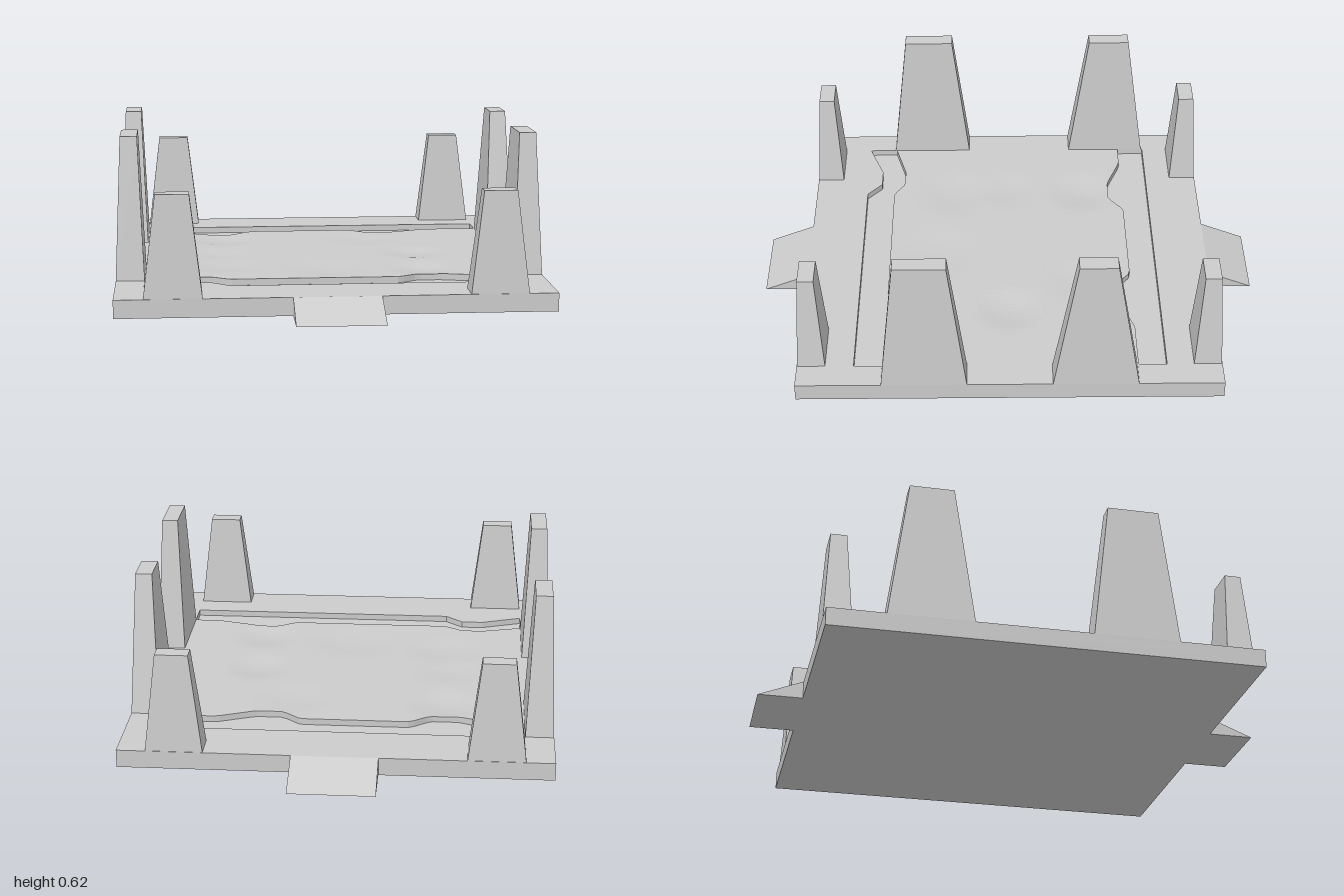
import * as THREE from 'three';

const TOP = 0.07, BED = 0.045, HALF = 0.825, IN = 0.715;
const material = new THREE.MeshStandardMaterial({ color: 0xcccccc, flatShading: true });

// Outlines [x, z] of the channels' edges, running from -x to +x
const backInner = [[-IN, -0.5], [-0.61, -0.5], [-0.46, -0.44], [-0.35, -0.44], [-0.27, -0.5],
  [0.16, -0.5], [0.23, -0.44], [0.34, -0.44], [0.49, -0.5], [IN, -0.5]];
const frontInner = [[-IN, 0.49], [-0.55, 0.445], [-0.46, 0.445], [-0.39, 0.49],
  [0.27, 0.49], [0.34, 0.445], [0.43, 0.445], [0.61, 0.49], [IN, 0.49]];
const frontOuter = [[-IN, 0.605], [-0.55, 0.545], [-0.46, 0.545], [-0.39, 0.605], [IN, 0.605]];

// Shallow dips in the worn floor: x, z, radius, depth
const dips = [[-0.4, -0.33, 0.16, 0.012], [0.38, 0, 0.15, 0.012], [-0.4, 0.22, 0.18, 0.008],
  [0.38, 0.33, 0.15, 0.012], [0, 0.3, 0.2, 0.008], [-0.42, 0, 0.15, 0.006], [0.2, -0.3, 0.16, 0.006]];

function add(group, name, geometry) {
  const mesh = new THREE.Mesh(geometry, material);
  mesh.name = name;
  group.add(mesh);
  return mesh;
}

// z of a polyline at a given x
function zAt(line, x) {
  for (let i = 1; i < line.length; i++) {
    const [x0, z0] = line[i - 1], [x1, z1] = line[i];
    if (x <= x1 + 1e-6) return THREE.MathUtils.lerp(z0, z1, (x - x0) / (x1 - x0));
  }
  return line[line.length - 1][1];
}

// Tapered block: ranges are [xMin, xMax, zMin, zMax]
function taper(bottom, top, y0, y1) {
  const g = new THREE.BoxGeometry(1, 1, 1), p = g.attributes.position;
  for (let i = 0; i < p.count; i++) {
    const up = p.getY(i) > 0, r = up ? top : bottom;
    p.setXYZ(i, r[p.getX(i) > 0 ? 1 : 0], up ? y1 : y0, r[p.getZ(i) > 0 ? 3 : 2]);
  }
  g.computeVertexNormals();
  return g;
}

// Raised rim: square sheet with the basin cut out
function rimGeometry() {
  const shape = new THREE.Shape([[-HALF, HALF], [-HALF, -HALF], [HALF, -HALF], [HALF, HALF]]
    .map(([x, y]) => new THREE.Vector2(x, y)));
  const basin = [...frontOuter, [IN, -0.61], [-IN, -0.61]].map(([x, z]) => new THREE.Vector2(x, -z));
  shape.holes.push(new THREE.Path(basin));
  return new THREE.ExtrudeGeometry(shape, { depth: TOP - BED, bevelEnabled: false })
    .rotateX(-Math.PI / 2).translate(0, BED, 0);
}

// Worn floor between the channels; the first and last rows drop to form the step
function floorGeometry() {
  const cols = 60, rows = 30;
  const g = new THREE.PlaneGeometry(2 * IN, 1, cols, rows).rotateX(-Math.PI / 2);
  const p = g.attributes.position;
  for (let i = 0; i < p.count; i++) {
    const row = Math.floor(i / (cols + 1)), x = p.getX(i);
    const t = THREE.MathUtils.clamp((row - 1) / (rows - 2), 0, 1);
    const z = THREE.MathUtils.lerp(zAt(backInner, x), zAt(frontInner, x), t);
    let y = TOP;
    for (const [dx, dz, r, depth] of dips) {
      const d = Math.hypot(x - dx, z - dz) / r;
      if (d < 1) y -= depth * (1 - d * d) ** 2;
    }
    if (row === 0 || row === rows) y = BED;
    p.setXYZ(i, x, y, z);
  }
  g.computeVertexNormals();
  return g;
}

export function createModel() {
  const model = new THREE.Group();
  model.name = 'arenaTile';

  // Base slab, rim and floor
  add(model, 'baseSlab', new THREE.BoxGeometry(2 * HALF, BED, 2 * HALF).translate(0, BED / 2, 0));
  add(model, 'rim', rimGeometry());
  add(model, 'wornFloor', floorGeometry());

  // Entry ramps at front and back
  for (const s of [1, -1]) {
    const wedge = new THREE.Shape([[HALF, 0], [1, 0], [HALF, TOP]].map(([x, y]) => new THREE.Vector2(x, y)));
    const g = new THREE.ExtrudeGeometry(wedge, { depth: 0.33, bevelEnabled: false })
      .translate(0, 0, -0.165).rotateY(-s * Math.PI / 2);
    add(model, s > 0 ? 'frontRamp' : 'backRamp', g);
  }

  // Tall pillars along the sides: side, base z range, top z range
  const tall = [
    ['leftFrontTallPillar', 1, [0.165, 0.495], [0.235, 0.435]],
    ['rightFrontTallPillar', -1, [0.165, 0.495], [0.235, 0.435]],
    ['leftBackTallPillar', 1, [-0.495, -0.165], [-0.4, -0.255]],
    ['rightBackTallPillar', -1, [-0.605, -0.28], [-0.53, -0.36]],
  ];
  for (const [name, s, base, top] of tall) {
    const xs = (a, b) => (s > 0 ? [a, b] : [-b, -a]);
    add(model, name, taper([...xs(IN, HALF), ...base], [...xs(0.738, 0.803), ...top], TOP, 0.62));
  }

  // Short pillars near the corners
  for (const sx of [1, -1]) for (const sz of [1, -1]) {
    const span = (s, a, b) => (s > 0 ? [a, b] : [-b, -a]);
    const name = (sx > 0 ? 'left' : 'right') + (sz > 0 ? 'Front' : 'Back') + 'ShortPillar';
    add(model, name, taper(
      [...span(sx, 0.497, 0.715), ...span(sz, 0.715, 0.823)],
      [...span(sx, 0.543, 0.668), ...span(sz, 0.74, 0.803)], TOP, 0.455));
  }
  return model;
}
